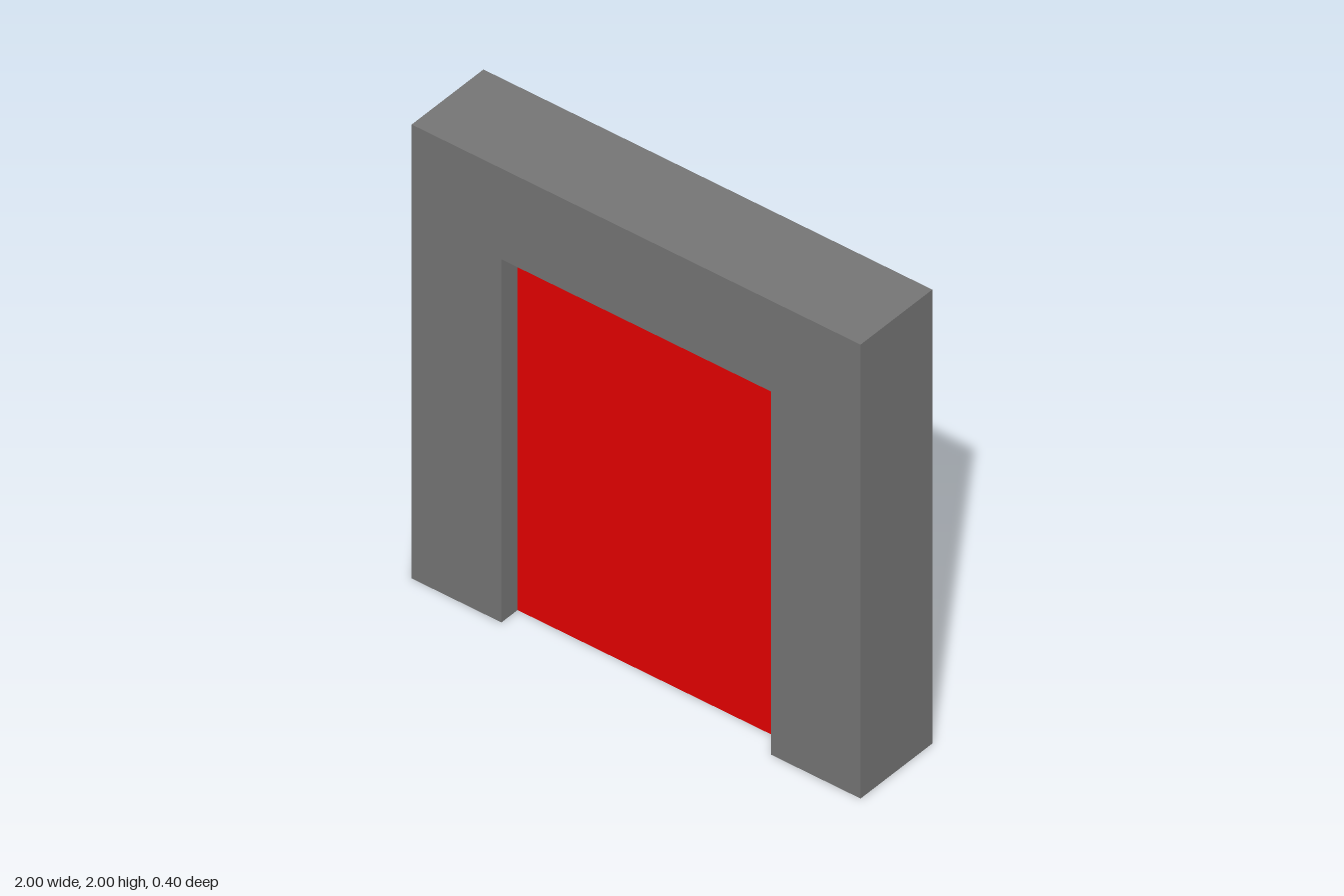
import * as THREE from 'three';

const WIDTH = 2, HEIGHT = 2, DEPTH = 0.4;
const OPENING_WIDTH = 1.2, OPENING_HEIGHT = 1.6, PANEL_DEPTH = 0.22;

export function createModel() {
  const group = new THREE.Group();
  group.name = 'doorway';

  // Frame: two posts and a lintel in one piece, open at the bottom
  const w = WIDTH / 2, o = OPENING_WIDTH / 2;
  const outline = new THREE.Shape([
    [-w, 0], [-o, 0], [-o, OPENING_HEIGHT], [o, OPENING_HEIGHT],
    [o, 0], [w, 0], [w, HEIGHT], [-w, HEIGHT],
  ].map(([x, y]) => new THREE.Vector2(x, y)));
  const frame = new THREE.Mesh(
    new THREE.ExtrudeGeometry(outline, { depth: DEPTH, bevelEnabled: false }).translate(0, 0, -DEPTH / 2),
    new THREE.MeshStandardMaterial({ color: 0x767676 }),
  );
  frame.name = 'frame';

  // Door panel: fills the opening, recessed equally front and back
  const panel = new THREE.Mesh(
    new THREE.BoxGeometry(OPENING_WIDTH, OPENING_HEIGHT, PANEL_DEPTH),
    new THREE.MeshStandardMaterial({ color: 0xe70000 }),
  );
  panel.name = 'doorPanel';
  panel.position.y = OPENING_HEIGHT / 2;

  group.add(frame, panel);
  return group;
}
